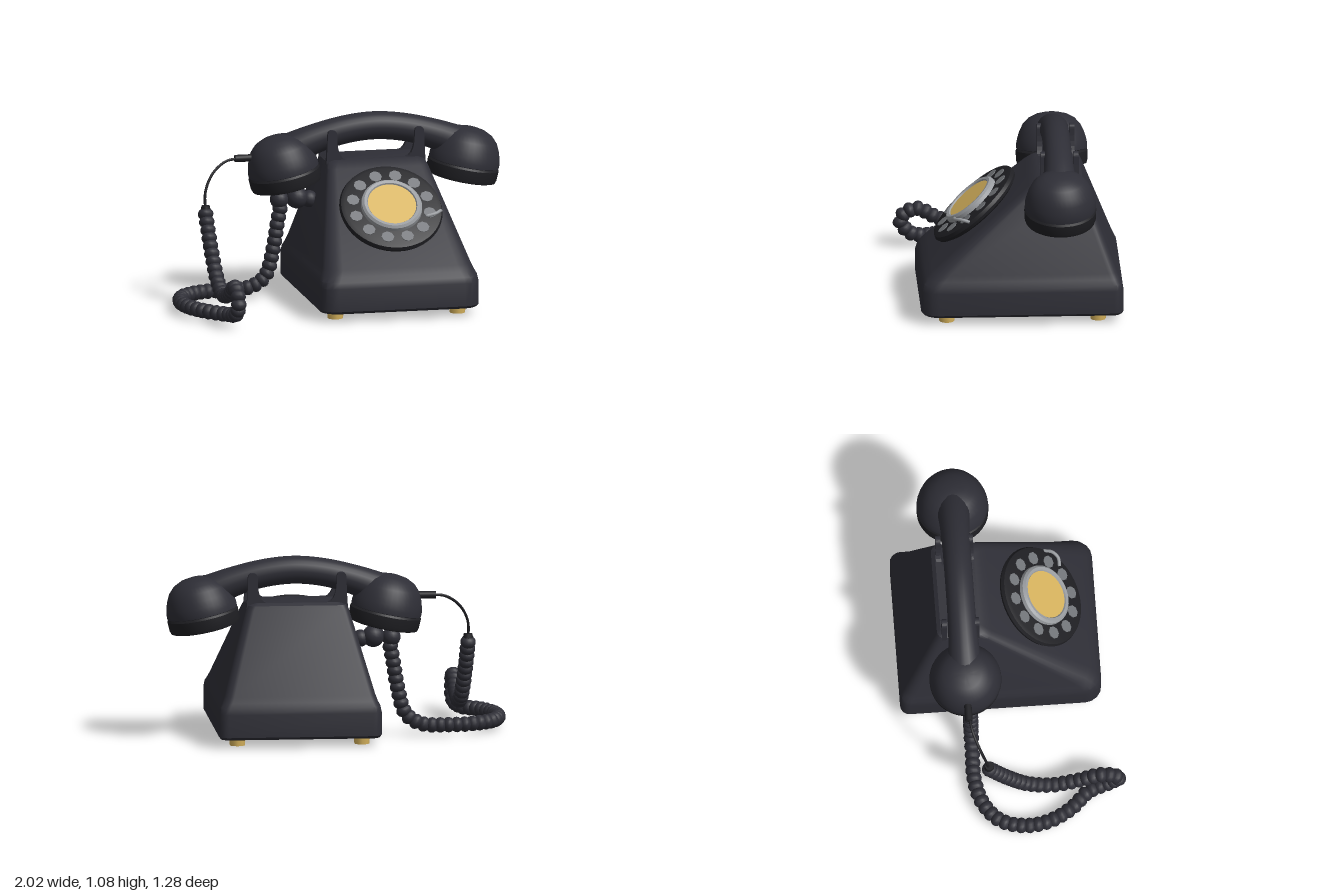
import * as THREE from 'three';
import { mergeGeometries, toCreasedNormals } from 'three/addons/utils/BufferGeometryUtils.js';

const paint = (name, color, extra = {}) => {
  const m = new THREE.MeshStandardMaterial({ color, ...extra });
  m.name = name;
  return m;
};
const V = (x, y, z) => new THREE.Vector3(x, y, z);
const CX = 0.258, HZ = -0.275;

export function createModel() {
  const shell = paint('charcoal shell', 0x2e2e36);
  const dark = paint('black trim', 0x1f1f23);
  const gold = paint('gold', 0xd8b45e);
  const silver = paint('silver', 0x9a9da1);
  const grey = paint('grey', 0x74777b);

  const root = new THREE.Group();
  root.name = 'rotaryTelephone';
  const add = (name, geo, mat, parent = root) => {
    const m = new THREE.Mesh(geo, mat);
    m.name = name;
    parent.add(m);
    return m;
  };
  const lathe = (pts, seg = 40) =>
    toCreasedNormals(new THREE.LatheGeometry(pts.map(p => new THREE.Vector2(...p)), seg), 0.6);

  // Body: rounded rectangles stacked along y
  add('body', bodyGeometry([
    // y, half width, back z, front z, back corner, front corner
    [0.05, 0.465, -0.638, 0.518, 0.05, 0.095],
    [0.065, 0.477, -0.65, 0.53, 0.055, 0.1],
    [0.2, 0.477, -0.65, 0.53, 0.055, 0.1],
    [0.235, 0.47, -0.644, 0.52, 0.055, 0.1],
    [0.265, 0.455, -0.63, 0.498, 0.055, 0.1],
    [0.3, 0.442, -0.615, 0.465, 0.055, 0.1],
    [0.78, 0.302, -0.432, -0.1, 0.045, 0.05],
    [0.805, 0.29, -0.422, -0.135, 0.045, 0.05],
    [0.82, 0.265, -0.4, -0.165, 0.04, 0.04],
  ]), shell);

  // Feet
  for (const x of [-0.11, 0.62]) for (const z of [0.38, -0.505])
    add('foot', new THREE.CylinderGeometry(0.051, 0.045, 0.06, 10).translate(x, 0.03, z), gold);

  // Cradle: a pair of U-shaped plates whose prongs hold the handset
  const u = new THREE.Shape();
  u.moveTo(-0.3, 0.76);
  u.lineTo(0.3, 0.76);
  u.quadraticCurveTo(0.292, 0.83, 0.288, 0.97);
  u.quadraticCurveTo(0.285, 0.995, 0.26, 0.995);
  u.quadraticCurveTo(0.234, 0.995, 0.232, 0.97);
  u.quadraticCurveTo(0.235, 0.835, 0.18, 0.82);
  u.lineTo(-0.18, 0.82);
  u.quadraticCurveTo(-0.235, 0.835, -0.232, 0.97);
  u.quadraticCurveTo(-0.234, 0.995, -0.26, 0.995);
  u.quadraticCurveTo(-0.285, 0.995, -0.288, 0.97);
  u.quadraticCurveTo(-0.292, 0.83, -0.3, 0.76);
  for (const z of [-0.205, -0.395])
    add('cradle', new THREE.ExtrudeGeometry(u, { depth: 0.03, bevelEnabled: false, curveSegments: 6 })
      .translate(CX, 0, z), shell);

  // Handset: swept handle with a bell and cap at each end
  const handset = new THREE.Group();
  handset.name = 'handset';
  handset.position.set(0.266, 0, HZ);
  root.add(handset);
  const half = [[0.57, 0.83], [0.48, 0.878], [0.37, 0.925], [0.19, 0.975]];
  const arc = new THREE.CatmullRomCurve3([
    ...half.map(([x, y]) => V(-x, y, 0)), V(0, 0.995, 0),
    ...half.map(([x, y]) => V(x, y, 0)).reverse(),
  ]);
  add('handle', sweep(arc, 48, 24, t => 0.082 + 0.04 * Math.pow(Math.abs(2 * t - 1), 4)), shell, handset);
  for (const side of [-1, 1]) {
    const cup = new THREE.Group();
    cup.name = side < 0 ? 'earpiece' : 'mouthpiece';
    cup.position.set(side * 0.52, 0.66, 0);
    cup.rotation.z = -side * 0.207;
    handset.add(cup);
    add('cap', lathe([[0, 0.015], [0.15, 0.012], [0.185, 0], [0.203, 0.006], [0.209, 0.025],
      [0.211, 0.08], [0.2, 0.095], [0, 0.095]]), dark, cup);
    add('bell', lathe([[0.19, 0.085], [0.208, 0.095], [0.208, 0.12], [0.202, 0.15], [0.19, 0.19],
      [0.168, 0.235], [0.135, 0.27], [0.09, 0.293], [0.045, 0.303], [0, 0.306]]), shell, cup);
  }

  // Dial, tilted to lie on the sloping front
  const dial = new THREE.Group();
  dial.name = 'dial';
  dial.position.set(0.262, 0.572, 0.182);
  dial.rotation.x = 0.715;
  root.add(dial);
  add('dialHub', new THREE.CylinderGeometry(0.12, 0.12, 0.06, 24).translate(0, -0.02, 0), dark, dial);
  add('fingerWheel', lathe([[0, 0], [0.275, 0], [0.297, 0.012], [0.305, 0.03], [0.297, 0.05],
    [0.275, 0.056], [0, 0.056]], 48), dark, dial);
  for (let i = 0; i < 12; i++) {
    const a = (i + 0.5) / 12 * Math.PI * 2;
    add('fingerHole', new THREE.CylinderGeometry(0.038, 0.038, 0.006, 8)
      .translate(Math.cos(a) * 0.228, 0.057, Math.sin(a) * 0.228), grey, dial);
  }
  add('dialRing', lathe([[0.182, 0.05], [0.178, 0.078], [0.165, 0.09], [0.148, 0.088],
    [0.138, 0.07]], 40), silver, dial);
  add('dialCentre', new THREE.CylinderGeometry(0.143, 0.143, 0.03, 32).translate(0, 0.065, 0), gold, dial);
  const stop = new THREE.CatmullRomCurve3([V(0.29, 0.045, 0.04), V(0.275, 0.085, 0.07), V(0.24, 0.1, 0.1), V(0.19, 0.095, 0.11)]);
  add('fingerStop', sweep(stop, 12, 8, () => 0.01), silver, dial);

  // Thin lead from the handset to the coiled cord
  add('leadSleeve', new THREE.CylinderGeometry(0.022, 0.022, 0.13, 12).rotateZ(Math.PI / 2)
    .translate(-0.5, 0.835, HZ), dark);
  const lead = new THREE.CatmullRomCurve3([V(-0.52, 0.835, HZ), V(-0.62, 0.825, -0.26),
    V(-0.71, 0.76, -0.225), V(-0.76, 0.66, -0.19), V(-0.763, 0.54, -0.17)]);
  add('lead', sweep(lead, 32, 8, () => 0.008), dark);
  add('cordCollar', new THREE.CylinderGeometry(0.025, 0.035, 0.05, 12).translate(-0.763, 0.56, -0.17), dark);

  // Coiled cord: rounded beads strung along a curve
  const cord = new THREE.CatmullRomCurve3([
    V(-0.763, 0.535, -0.17), V(-0.755, 0.36, -0.07), V(-0.745, 0.19, 0.06), V(-0.74, 0.13, 0.2),
    V(-0.735, 0.17, 0.36), V(-0.735, 0.235, 0.5), V(-0.735, 0.17, 0.59), V(-0.735, 0.085, 0.53),
    V(-0.77, 0.06, 0.41), V(-0.87, 0.06, 0.3), V(-0.94, 0.06, 0.16), V(-0.955, 0.06, 0.02),
    V(-0.91, 0.06, -0.12), V(-0.8, 0.06, -0.21), V(-0.65, 0.06, -0.25), V(-0.48, 0.07, -0.25),
    V(-0.39, 0.13, -0.25), V(-0.34, 0.3, -0.25), V(-0.315, 0.45, -0.25), V(-0.3, 0.53, -0.25),
  ]);
  const beads = [], count = 58, up = V(0, 1, 0);
  for (let i = 0; i <= count; i++) {
    const t = i / count;
    const q = new THREE.Quaternion().setFromUnitVectors(up, cord.getTangentAt(t));
    beads.push(new THREE.SphereGeometry(1, 14, 10).scale(0.046, 0.037, 0.046)
      .applyQuaternion(q).translate(...cord.getPointAt(t).toArray()));
  }
  for (const [x, y, r] of [[-0.305, 0.585, 0.055], [-0.2, 0.592, 0.065], [-0.125, 0.58, 0.05]])
    beads.push(new THREE.SphereGeometry(r, 18, 12).translate(x, y, -0.25));
  add('coiledCord', mergeGeometries(beads), shell);

  return root;
}

// Tube whose radius follows a function of its length
function sweep(curve, steps, sides, radius) {
  const g = new THREE.TubeGeometry(curve, steps, 1, sides);
  const p = g.attributes.position, n = g.attributes.normal;
  for (let i = 0; i < p.count; i++) {
    const t = Math.floor(i / (sides + 1)) / steps, c = curve.getPointAt(t), r = radius(t);
    p.setXYZ(i, c.x + n.getX(i) * r, c.y + n.getY(i) * r, c.z + n.getZ(i) * r);
  }
  return g;
}

// Closed loft through rounded rectangles
function bodyGeometry(levels) {
  const ARC = 4, N = 4 * (ARC + 1), pos = [], idx = [];
  for (const [y, w, back, front, rb, rf] of levels)
    for (let c = 0; c < 4; c++) {
      const sx = c === 0 || c === 3 ? 1 : -1, isFront = c < 2, r = isFront ? rf : rb;
      for (let k = 0; k <= ARC; k++) {
        const a = (c + k / ARC) * Math.PI / 2;
        pos.push(CX + sx * (w - r) + r * Math.cos(a), y, (isFront ? front - r : back + r) + r * Math.sin(a));
      }
    }
  const L = levels.length, bottom = L * N, top = bottom + 1, last = levels[L - 1];
  pos.push(CX, levels[0][0], 0, CX, last[0], (last[2] + last[3]) / 2);
  for (let j = 0; j < N; j++) {
    const k = (j + 1) % N, t = (L - 1) * N;
    for (let i = 0; i < L - 1; i++) {
      const a = i * N + j, b = i * N + k;
      idx.push(a, a + N, b, b, a + N, b + N);
    }
    idx.push(bottom, j, k, top, t + k, t + j);
  }
  const g = new THREE.BufferGeometry();
  g.setAttribute('position', new THREE.Float32BufferAttribute(pos, 3));
  g.setIndex(idx);
  return toCreasedNormals(g, 0.5);
}
